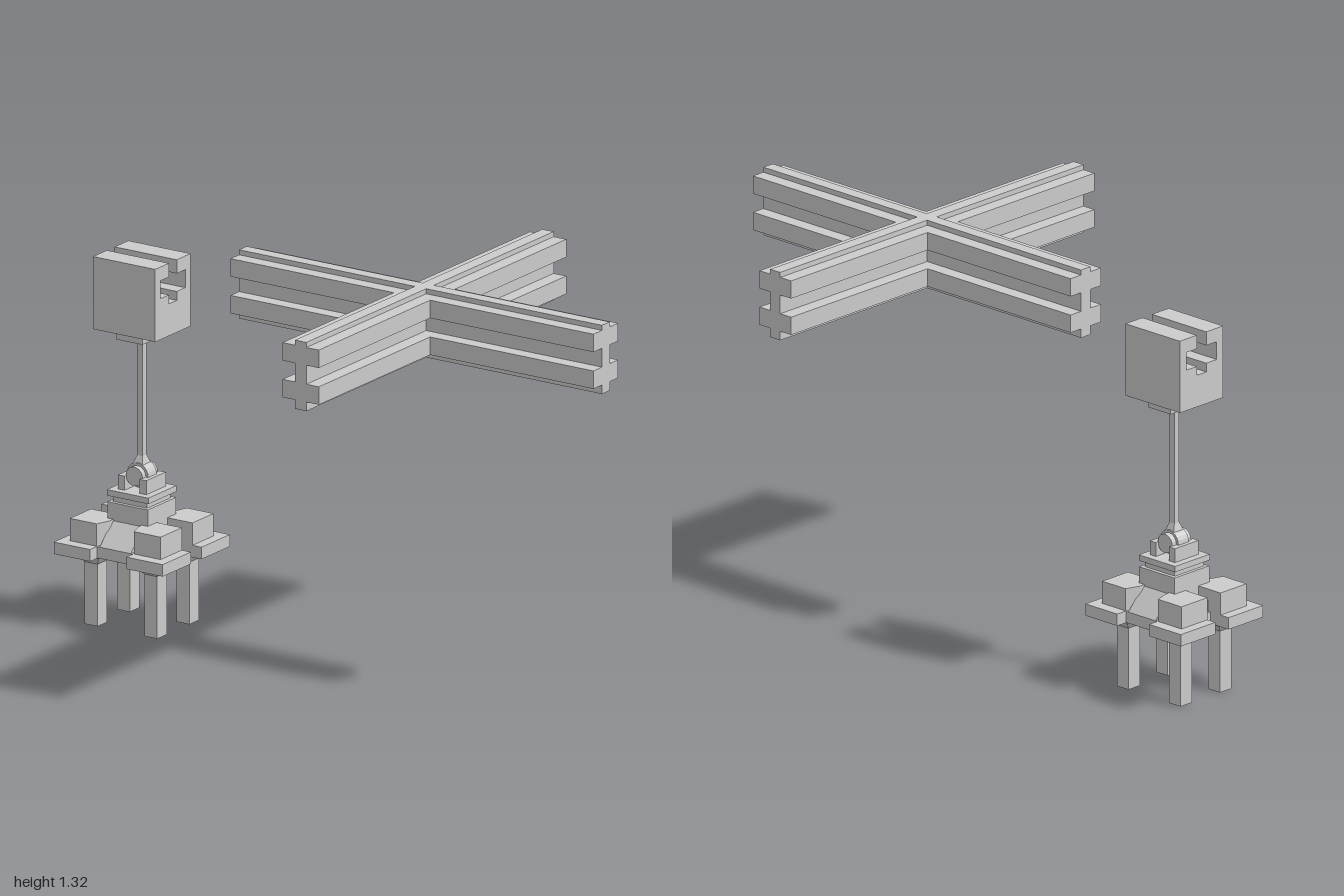
import * as THREE from 'three';

const material = new THREE.MeshStandardMaterial({ color: 0xcccccc, flatShading: true });

function add(parent, name, geometry, x = 0, y = 0, z = 0) {
  const mesh = new THREE.Mesh(geometry, material);
  mesh.name = name;
  mesh.position.set(x, y, z);
  parent.add(mesh);
  return mesh;
}

// Box given by half width, half depth and its bottom and top heights
function slab(parent, name, hx, hz, y0, y1, x = 0, z = 0) {
  return add(parent, name, new THREE.BoxGeometry(hx * 2, y1 - y0, hz * 2), x, (y0 + y1) / 2, z);
}

// Four-sided frustum standing on y0
function frustum(parent, name, bottom, top, y0, y1, x = 0, z = 0) {
  const g = new THREE.BoxGeometry(2, y1 - y0, 2);
  const p = g.attributes.position;
  for (let i = 0; i < p.count; i++) {
    const [hx, hz] = p.getY(i) > 0 ? top : bottom;
    p.setX(i, p.getX(i) * hx);
    p.setZ(i, p.getZ(i) * hz);
  }
  g.computeVertexNormals();
  return add(parent, name, g, x, (y0 + y1) / 2, z);
}

// Extrude a profile drawn in (-z, y) along the x axis, centred
function extrudeX(points, length) {
  const shape = new THREE.Shape(points.map(([a, b]) => new THREE.Vector2(a, b)));
  const g = new THREE.ExtrudeGeometry(shape, { depth: length, bevelEnabled: false });
  return g.translate(0, 0, -length / 2).rotateY(Math.PI / 2);
}

const mirror = (half) => [...half, ...half.map(([a, b]) => [-a, b]).reverse()];
const WEB = 0.022, FLANGE = 0.07;

function crossBeams() {
  const group = new THREE.Group();
  group.name = 'crossBeams';
  const profile = mirror([
    [WEB, 1.092], [WEB, 1.122], [FLANGE, 1.122], [FLANGE, 1.182], [WEB, 1.182], [WEB, 1.245],
    [FLANGE, 1.245], [FLANGE, 1.305], [WEB, 1.305], [WEB, 1.322],
  ]);
  add(group, 'beamAlongX', extrudeX(profile, 1.4));
  add(group, 'beamAlongZ', extrudeX(profile, 1.4)).rotation.y = Math.PI / 2;
  group.position.x = 0.3;
  return group;
}

function support() {
  const group = new THREE.Group();
  group.name = 'support';

  // Head with a channel that matches the lower half of a beam
  const head = mirror([
    [0.1, 0.985], [0.1, 1.228], [WEB, 1.228], [WEB, 1.182], [FLANGE, 1.182], [FLANGE, 1.122],
    [WEB, 1.122], [WEB, 1.092],
  ]);
  add(group, 'slottedHead', extrudeX(head, 0.24));
  slab(group, 'headCollar', 0.05, 0.07, 0.955, 0.985);
  slab(group, 'rod', 0.011, 0.011, 0.5, 0.955);

  // Pivot joint
  frustum(group, 'rodFoot', [0.02, 0.024], [0.011, 0.011], 0.53, 0.56);
  add(group, 'pivotHub', new THREE.CylinderGeometry(0.041, 0.041, 0.048, 20).rotateX(Math.PI / 2), 0, 0.498);
  add(group, 'pivotPin', new THREE.CylinderGeometry(0.032, 0.032, 0.086, 20).rotateX(Math.PI / 2), 0, 0.498);
  for (const s of [-1, 1]) slab(group, 'pivotCheek', 0.013, 0.055, 0.45, 0.497, s * 0.042);

  // Stepped pedestal
  slab(group, 'upperPlate', 0.08, 0.08, 0.43, 0.45);
  slab(group, 'neckPlate', 0.066, 0.067, 0.41, 0.43);
  slab(group, 'pedestal', 0.078, 0.08, 0.24, 0.41);
  slab(group, 'baseSlab', 0.13, 0.15, 0.241, 0.279);
  slab(group, 'sideStep', 0.12, 0.03, 0.279, 0.315);

  // Ramps rising to the pedestal at front and back
  const ramp = [[-0.15, 0.279], [0.15, 0.279], [0.075, 0.355], [-0.075, 0.355]];
  add(group, 'ramps', extrudeX(ramp, 0.12));

  // Corner feet: plate, block and flared leg
  for (const sx of [-1, 1]) for (const sz of [-1, 1]) {
    slab(group, 'cornerPlate', 0.07, 0.08, 0.24, 0.28, sx * 0.14, sz * 0.11);
    const outline = [[0.175, 0.03], [0.175, 0.15], [0.072, 0.15], [0.055, 0.1], [0.055, 0.03]];
    const shape = new THREE.Shape(outline.map(([x, z]) => new THREE.Vector2(sx * x, -sz * z)));
    const block = new THREE.ExtrudeGeometry(shape, { depth: 0.075, bevelEnabled: false });
    add(group, 'cornerBlock', block.rotateX(-Math.PI / 2), 0, 0.28);
    frustum(group, 'legFlare', [0.025, 0.027], [0.048, 0.056], 0.208, 0.24, sx * 0.115, sz * 0.091);
    slab(group, 'leg', 0.025, 0.027, 0, 0.208, sx * 0.115, sz * 0.091);
  }
  group.position.x = -0.79;
  return group;
}

export function createModel() {
  const model = new THREE.Group();
  model.name = 'beamAndSupport';
  model.add(crossBeams(), support());
  return model;
}
